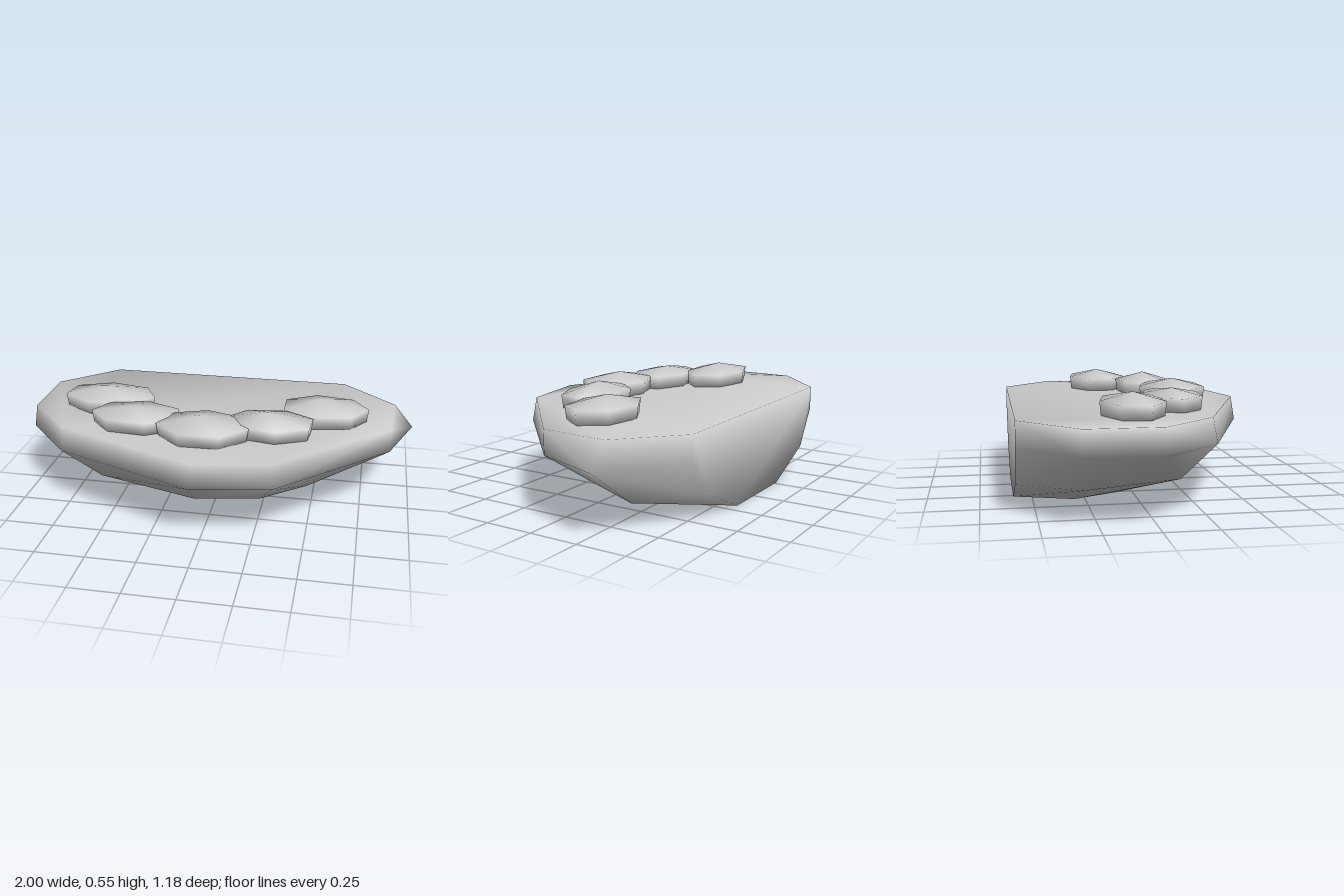
import * as THREE from 'three';
import { ConvexGeometry } from 'three/addons/geometries/ConvexGeometry.js';
import { mergeVertices } from 'three/addons/utils/BufferGeometryUtils.js';

const grey = new THREE.MeshStandardMaterial({ color: 0xcccccc });
grey.name = 'stoneGrey';

// Convex lump with normals smoothed over every edge
function smoothHull(points, name) {
  const hull = new ConvexGeometry(points);
  hull.deleteAttribute('normal');
  const geometry = mergeVertices(hull, 1e-4);
  geometry.computeVertexNormals();
  const mesh = new THREE.Mesh(geometry, grey);
  mesh.name = name;
  return mesh;
}

// Base outlines as [x, z] at each height
const levels = [
  [0.44, [[-0.98, -0.33], [-0.7, -0.59], [0.62, -0.59], [0.9, -0.33], [0.88, 0.01],
    [0.34, 0.5], [-0.03, 0.57], [-0.74, 0.28], [-0.98, 0.02]]],
  [0.32, [[-0.98, -0.33], [-0.7, -0.59], [0.62, -0.59], [1, -0.33], [0.88, 0.01],
    [0.35, 0.52], [-0.03, 0.59], [-0.75, 0.3], [-1, 0.02]]],
  [0.13, [[-0.75, -0.3], [-0.58, -0.59], [0.47, -0.59], [0.75, -0.36], [0.65, -0.2],
    [0.48, 0.09], [0.26, 0.27], [-0.06, 0.33], [-0.59, 0.17]]],
  [0, [[-0.37, -0.3], [-0.27, -0.59], [0.18, -0.59], [0.29, -0.3], [0.15, -0.08], [-0.04, -0.05], [-0.27, -0.1]]],
];

// Stones: centre x, centre z, half width, half depth, top height, outline turn
const stones = [
  [-0.59, -0.06, 0.24, 0.15, 0.545, 0.1],
  [-0.385, 0.165, 0.23, 0.145, 0.535, 0.35],
  [-0.03, 0.245, 0.23, 0.165, 0.545, 0.2],
  [0.29, 0.15, 0.22, 0.14, 0.55, 0.5],
  [0.54, -0.075, 0.22, 0.155, 0.545, 0],
];

export function createModel() {
  const model = new THREE.Group();
  model.name = 'stoneDish';

  const basePoints = levels.flatMap(([y, ring]) => ring.map(([x, z]) => new THREE.Vector3(x, y, z)));
  model.add(smoothHull(basePoints, 'base'));

  // Low faceted stones laid in an arc
  stones.forEach(([cx, cz, rx, rz, top, turn], i) => {
    const points = [new THREE.Vector3(cx - 0.02, top, cz)];
    for (let k = 0; k < 7; k++) {
      const a = turn + (k / 7) * Math.PI * 2;
      const c = Math.cos(a) * rx * 1.02, s = Math.sin(a) * rz * 1.02;
      points.push(new THREE.Vector3(cx + c, 0.505, cz + s));
      points.push(new THREE.Vector3(cx + c * 0.95, 0.43, cz + s * 0.95));
    }
    model.add(smoothHull(points, 'stone' + (i + 1)));
  });
  return model;
}
